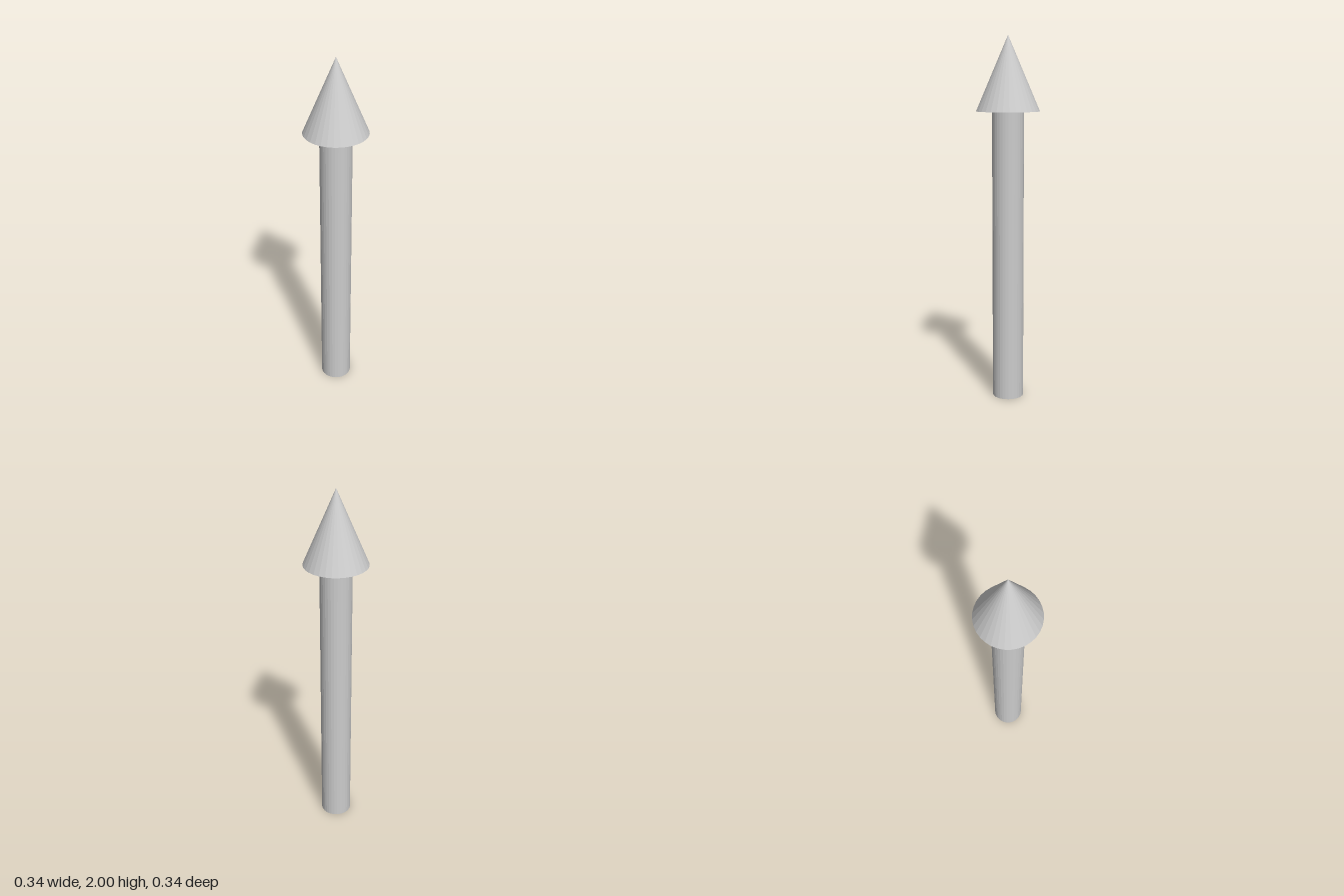
import * as THREE from 'three';

const SIDES = 32;
const SHAFT_RADIUS = 0.086;
const HEAD_RADIUS = 0.172;
const HEAD_BASE = 1.6;
const HEIGHT = 2;

export function createModel() {
  const group = new THREE.Group();
  group.name = 'arrow';
  const material = new THREE.MeshStandardMaterial({ color: 0xcccccc, flatShading: true });

  const addPart = (name, geometry, y) => {
    const mesh = new THREE.Mesh(geometry, material);
    mesh.name = name;
    mesh.position.y = y;
    group.add(mesh);
  };

  // Straight round shaft standing on the ground
  addPart('shaft', new THREE.CylinderGeometry(SHAFT_RADIUS, SHAFT_RADIUS, HEAD_BASE, SIDES), HEAD_BASE / 2);

  // Pointed head with a closed underside
  addPart('head', new THREE.ConeGeometry(HEAD_RADIUS, HEIGHT - HEAD_BASE, SIDES), (HEAD_BASE + HEIGHT) / 2);

  return group;
}
